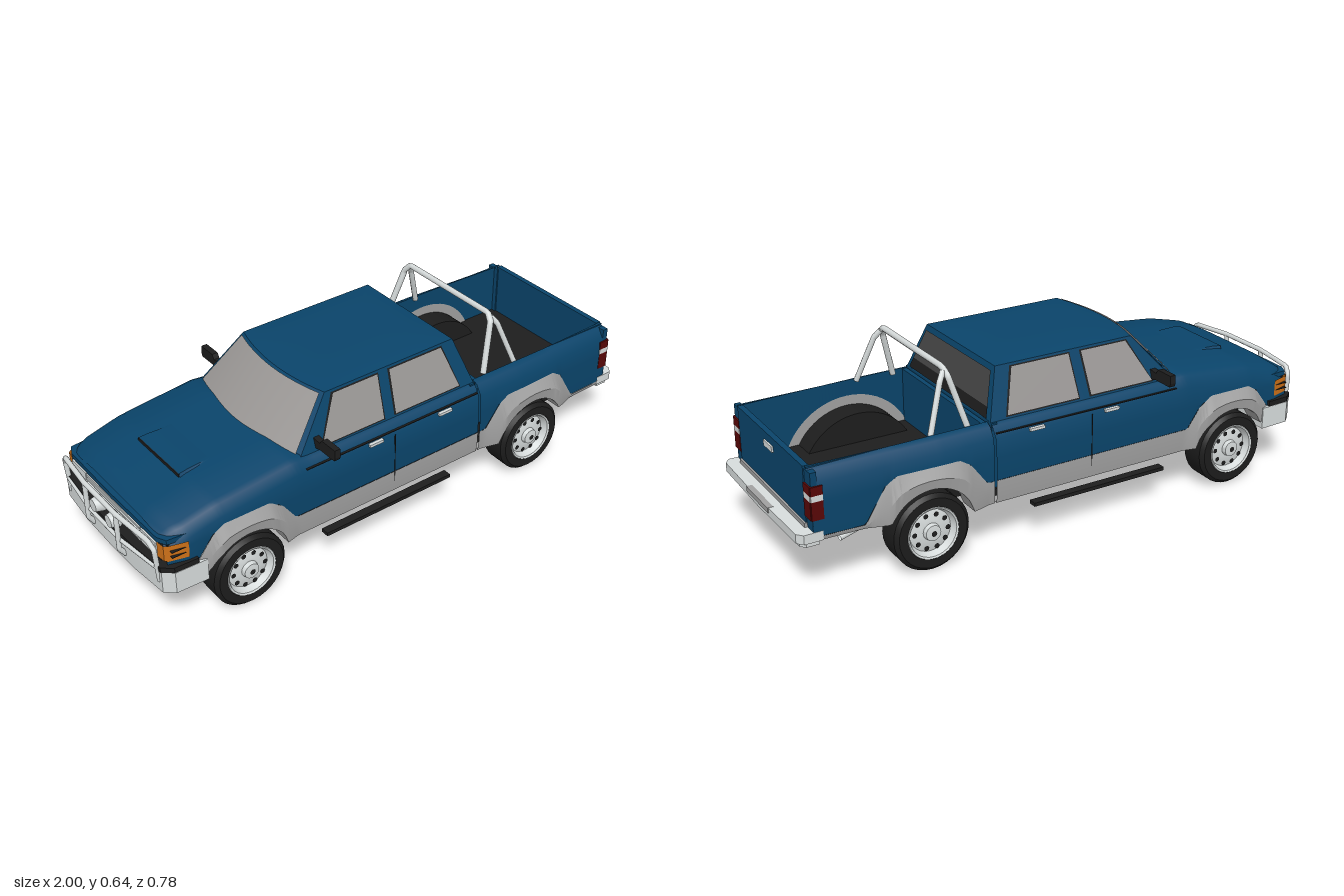
import * as THREE from 'three';
import { toCreasedNormals } from 'three/addons/utils/BufferGeometryUtils.js';

const paint = (name, color) => Object.assign(
  new THREE.MeshStandardMaterial({ color, side: THREE.DoubleSide }), { name });

export function createModel() {
  const M = {
    blue: paint('body blue', 0x0a446a), grey: paint('cladding grey', 0xa0a0a0),
    glass: paint('window glass', 0x9a9795), rearGlass: paint('dark rear glass', 0x454545),
    silver: paint('silver metal', 0xd6dbdb), black: paint('black plastic', 0x1d1d1d),
    tyre: paint('tyre rubber', 0x1c1c1c), red: paint('lamp red', 0x580707),
    orange: paint('lamp orange', 0xcc7018),
  };
  const truck = new THREE.Group();
  truck.name = 'pickupTruck';
  const lerp = THREE.MathUtils.lerp;

  // ---------- helpers ----------
  const add = (name, geo, mat, parent = truck) => {
    const m = new THREE.Mesh(geo, mat);
    m.name = name;
    parent.add(m);
    return m;
  };
  // box given by its limits
  const box = (name, mat, x0, x1, y0, y1, z0, z1, parent) => add(name,
    new THREE.BoxGeometry(x1 - x0, y1 - y0, z1 - z0)
      .translate((x0 + x1) / 2, (y0 + y1) / 2, (z0 + z1) / 2), mat, parent);
  // surface through a list of equally long point rows
  const loft = (rows, crease = 0.6) => {
    const n = rows[0].length, idx = [];
    for (let i = 0; i < rows.length - 1; i++) for (let j = 0; j < n - 1; j++) {
      const a = i * n + j, b = a + n;
      idx.push(a, a + 1, b, b, a + 1, b + 1);
    }
    const g = new THREE.BufferGeometry();
    g.setAttribute('position', new THREE.Float32BufferAttribute(rows.flat(2), 3));
    g.setIndex(idx);
    return toCreasedNormals(g, crease);
  };
  const range = (a, b, n) => Array.from({ length: n + 1 }, (_, i) => lerp(a, b, i / n));
  const patch = (fn, nu, nv) => loft(range(0, 1, nu).map(u => range(0, 1, nv).map(v => fn(u, v))));
  // piecewise linear curve
  const curve = pts => x => {
    if (x <= pts[0][0]) return pts[0][1];
    for (let i = 1; i < pts.length; i++) if (x <= pts[i][0])
      return lerp(pts[i - 1][1], pts[i][1], (x - pts[i - 1][0]) / (pts[i][0] - pts[i - 1][0]));
    return pts[pts.length - 1][1];
  };
  const shape = pts => new THREE.Shape(pts.map(p => new THREE.Vector2(...p)));
  // symmetric plan outline (x, z) raised from y0 to y1
  const plan = (name, mat, half, y0, y1) => {
    const g = new THREE.ExtrudeGeometry(shape([...half, ...half.map(([x, z]) => [x, -z]).reverse()]),
      { depth: y1 - y0, bevelEnabled: false });
    return add(name, toCreasedNormals(g.rotateX(Math.PI / 2).translate(0, y1, 0), 0.6), mat);
  };
  const tube = (name, mat, pts, r, parent) => {
    const path = new THREE.CurvePath(), v = pts.map(p => new THREE.Vector3(...p));
    for (let i = 1; i < v.length; i++) path.add(new THREE.LineCurve3(v[i - 1], v[i]));
    return add(name, new THREE.TubeGeometry(path, pts.length * 10, r, 8), mat, parent);
  };
  const both = build => [1, -1].forEach(s => {
    const g = new THREE.Group();
    g.name = s > 0 ? 'nearSide' : 'farSide';
    g.scale.z = s;
    build(g);
    truck.add(g);
  });

  // ---------- body skin ----------
  const axles = [-0.66, 0.55];
  const width = curve([[-0.935, 0.305], [-0.87, 0.323], [-0.7, 0.328], [0.5, 0.33], [0.94, 0.315]]);
  const top = curve([[-0.935, 0.364], [-0.9, 0.387], [-0.75, 0.423], [-0.46, 0.453], [-0.4, 0.446], [0.94, 0.438]]);
  const cladTop = curve([[-0.84, 0.25], [-0.78, 0.33], [-0.74, 0.355], [-0.57, 0.355], [-0.52, 0.32], [-0.47, 0.25],
    [0.34, 0.25], [0.4, 0.33], [0.44, 0.355], [0.66, 0.355], [0.7, 0.33], [0.77, 0.215]]);
  const flare = curve([[-0.84, 0], [-0.76, 1], [-0.56, 1], [-0.46, 0], [0.33, 0], [0.42, 1], [0.68, 1], [0.77, 0]]);
  const bottom = x => Math.max(x > 0.6 || x < -0.75 ? 0.2 : 0.168,
    ...axles.map(c => 0.135 + Math.sqrt(Math.max(0, 0.024 - (x - c) ** 2))));
  const side = x => {
    const w = width(x), t = top(x), c = cladTop(x);
    return [[x, c, w], [x, Math.min(Math.max(c, 0.33), t - 0.048), w + 0.001], [x, t - 0.045, w - 0.004],
      [x, t - 0.01, w - 0.026], [x, t, w - 0.045]];
  };
  const flip = p => p.map(([x, y, z]) => [x, y, -z]).reverse();
  add('frontBody', loft(range(-0.935, 0.305, 80).map(x => {
    const s = side(x);
    return [...s, [x, top(x) + 0.008, 0.15], [x, top(x) + 0.008, -0.15], ...flip(s)];
  })), M.blue);
  both(g => {
    add('bedSide', loft(range(0.312, 0.94, 50).map(x =>
      [...side(x), [x, top(x), 0.28], [x, 0.22, 0.28]])), M.blue, g);
    const clad = (a, b, n) => add('cladding', loft(range(a, b, n).map(x => {
      const w = width(x), f = w + 0.024 * flare(x), y0 = bottom(x), y1 = Math.max(cladTop(x), y0 + 0.01);
      return [[x, y0, w - 0.06], [x, y0, f - 0.003], [x, lerp(y0, y1, 0.5), f + 0.001], [x, y1, w + 0.001]];
    }), 0.5), M.grey, g);
    clad(-0.84, 0.305, 100);
    clad(0.312, 0.94, 60);

    // wheel wells, the rear ones rising into the bed
    axles.forEach((x, i) => {
      const r = i ? 0.215 : 0.17, a = Math.asin(0.07 / r), sweep = Math.PI - 2 * a;
      add('wheelWell', new THREE.CylinderGeometry(r, r, 0.09, 24, 1, true, Math.PI / 2 + a, sweep)
        .rotateX(Math.PI / 2).translate(x, 0.135, 0.235), M.black, g);
      add('wheelWellWall', new THREE.CircleGeometry(r, 24, a, sweep).translate(x, 0.135, 0.19), M.black, g);
    });
    add('wheelWellRing', new THREE.RingGeometry(0.21, 0.25, 24, 1, 0.45, Math.PI - 0.9)
      .translate(0.55, 0.135, 0.276), M.grey, g);

    // door seam, trim and handles
    box('doorSeam', M.black, -0.067, -0.065, 0.21, 0.4, 0.327, 0.3315, g);
    box('sideTrim', M.black, -0.42, 0.3, 0.411, 0.414, 0.317, 0.325, g);
    [-0.145, 0.15].forEach(x => box('doorHandle', M.silver, x - 0.028, x + 0.028, 0.395, 0.405, 0.322, 0.334, g));

    // mirror with its tapering arm, outlined in (z, y)
    add('mirror', new THREE.ExtrudeGeometry(shape([[0.27, 0.445], [0.31, 0.457], [0.387, 0.457], [0.392, 0.47],
      [0.39, 0.498], [0.32, 0.498], [0.31, 0.482], [0.27, 0.486]]), { depth: 0.022, bevelEnabled: false })
      .rotateY(-Math.PI / 2).translate(-0.338, 0, 0), M.black, g);

    // front lamps: the corner lamp follows the fender and wraps to the front
    add('cornerLamp', loft([...range(-0.866, -0.932, 4).map(x => [x, width(x) + 0.003]), [-0.941, 0.3], [-0.945, 0.268]]
      .map(([x, z]) => [[x, 0.288, z], [x, 0.348, z]])), M.orange, g);
    [0.308, 0.328].forEach(y => box('cornerLampRib', M.black, -0.925, -0.87, y - 0.001, y + 0.001, 0.3, 0.3245, g));
    box('headlamp', M.silver, -0.949, -0.9, 0.288, 0.342, 0.175, 0.266, g);

    // tail lamps: a rear plate and a side plate in three bands
    [[0.272, 0.335, M.red], [0.335, 0.355, M.silver], [0.355, 0.385, M.red]].forEach(([y0, y1, mat]) => {
      box('tailLampRear', mat, 0.94, 0.947, y0, y1, 0.266, 0.314, g);
      box('tailLampSide', mat, 0.905, 0.945, y0, y1, 0.3, 0.3185, g);
    });
    box('rearPost', M.blue, 0.92, 0.941, 0.2, 0.43, 0.262, 0.312, g);

    // side step and springs
    box('sideStep', M.black, -0.36, 0.17, 0.125, 0.138, 0.315, 0.346, g);
    box('leafSpring', M.black, 0.42, 0.68, 0.15, 0.165, 0.185, 0.215, g);
    box('springShackle', M.black, 0.5, 0.54, 0.12, 0.2, 0.14, 0.165, g);
  });

  // ---------- cab ----------
  const cabY = t => lerp(0.44, 0.605, t), cabZ = t => lerp(0.292, 0.232, t);
  const frontX = (s, t) => lerp(-0.49, -0.318, t) + lerp(0.065, 0.035, t) * s * s;
  const rearX = t => lerp(0.305, 0.252, t);
  const windscreen = (s, t, o = 0) => [frontX(s, t) - o, cabY(t) + o, s * cabZ(t)];
  const sideWall = (x, t, o = 0) => [x, cabY(t), cabZ(t) + o];
  const rearWall = (s, t, o = 0) => [rearX(t) + o, cabY(t), s * cabZ(t)];
  add('cabFront', patch((u, t) => windscreen(2 * u - 1, t), 12, 2), M.blue);
  add('windscreen', patch((u, v) => windscreen((2 * u - 1) * 0.95, lerp(0.03, 0.96, v), 0.004), 12, 2), M.glass);
  add('cabRear', patch((u, t) => rearWall(2 * u - 1, t), 2, 2), M.blue);
  add('rearWindow', patch((u, v) => rearWall((2 * u - 1) * 0.93, lerp(0.25, 0.9, v), 0.004), 2, 2), M.rearGlass);
  add('rearWindowBase', patch((u, v) => rearWall((2 * u - 1) * 0.93, lerp(0.04, 0.25, v), 0.004), 2, 2), M.black);
  add('roof', patch((u, v) => {
    const s = 2 * v - 1;
    return [lerp(frontX(s, 1), rearX(1), u), 0.605 + 0.01 * (1 - s ** 4) * (1 - (2 * u - 1) ** 6), s * cabZ(1)];
  }, 16, 14), M.blue);
  both(g => {
    add('cabSide', patch((u, t) => sideWall(lerp(frontX(1, t), rearX(t), u), t), 2, 2), M.blue, g);
    // each window: bottom and top x of its front and rear edge
    [[-0.335, -0.255, -0.085, -0.075], [-0.035, -0.025, 0.24, 0.195]].forEach(([a, b, c, d]) => {
      const pane = (name, mat, e, t0, t1, o) => add(name, patch((u, v) =>
        sideWall(lerp(lerp(a, b, v) - e, lerp(c, d, v) + e, u), lerp(t0, t1, v), o), 1, 1), mat, g);
      pane('windowSeal', M.black, 0.006, 0.04, 0.96, 0.002);
      pane('sideWindow', M.glass, 0, 0.075, 0.94, 0.005);
    });
  });
  box('cabBackPanel', M.blue, 0.285, 0.305, 0.2, 0.44, -0.3, 0.3);
  box('cabBedGap', M.black, 0.3, 0.316, 0.17, 0.43, -0.29, 0.29);

  // bonnet scoop, open to the front and fading backward
  add('bonnetScoop', patch((u, v) => {
    const x = lerp(-0.77, -0.64, u), s = 2 * v - 1;
    return [x, top(x) + 0.007 + (Math.abs(s) > 0.95 ? 0 : 0.012 * (1 - u)), s * lerp(0.13, 0.12, u)];
  }, 4, 40), M.blue);
  box('scoopOpening', M.black, -0.773, -0.769, 0.425, 0.436, -0.125, 0.125);

  // ---------- nose ----------
  plan('nosePanel', M.black, [[-0.86, 0.3], [-0.925, 0.298], [-0.938, 0.27], [-0.943, 0]], 0.24, 0.35);
  plan('noseLip', M.blue, [[-0.86, 0.31], [-0.93, 0.303], [-0.946, 0.27], [-0.95, 0]], 0.348, 0.366);
  [0.29, 0.306, 0.322, 0.338].forEach(y => box('grilleBar', M.silver, -0.949, -0.93, y - 0.004, y + 0.004, -0.17, 0.17));
  plan('frontBumper', M.silver, [[-0.81, 0.337], [-0.925, 0.333], [-0.958, 0.305], [-0.972, 0.15], [-0.974, 0]], 0.175, 0.255);
  plan('bumperTopStrip', M.black, [[-0.84, 0.335], [-0.925, 0.331], [-0.96, 0.304], [-0.974, 0.15], [-0.976, 0]], 0.255, 0.274);
  plan('frontValance', M.black, [[-0.82, 0.26], [-0.88, 0.24], [-0.9, 0.15], [-0.905, 0]], 0.15, 0.176);
  // bull bar with driving lamps
  const arch = [[-0.955, 0.21, 0.285], [-0.965, 0.335, 0.285], [-0.972, 0.362, 0.262], [-0.99, 0.368, 0.1]];
  tube('bullBarLoop', M.silver, [...arch, ...flip(arch)], 0.009);
  tube('bullBarCross', M.silver, [[-0.962, 0.265, 0.285], [-0.985, 0.265, 0.1], [-0.985, 0.265, -0.1], [-0.962, 0.265, -0.285]], 0.007);
  [-0.1, 0.1].forEach(z => {
    tube('bullBarUpright', M.silver, [[-0.97, 0.2, z], [-0.99, 0.23, z], [-0.99, 0.368, z]], 0.009);
    add('drivingLamp', new THREE.CylinderGeometry(0.022, 0.03, 0.032, 20).rotateZ(Math.PI / 2)
      .translate(-0.978, 0.308, z * 0.5), M.silver);
  });

  // ---------- bed ----------
  box('bedFloor', M.black, 0.316, 0.93, 0.205, 0.243, -0.285, 0.285);
  box('bedHeadboard', M.blue, 0.312, 0.33, 0.2, 0.438, -0.29, 0.29);
  box('tailgate', M.blue, 0.925, 0.945, 0.24, 0.438, -0.268, 0.268);
  box('tailgateHandle', M.silver, 0.94, 0.951, 0.39, 0.41, -0.034, 0.034);
  plan('rearBumper', M.silver, [[0.91, 0.317], [0.975, 0.317], [0.993, 0.295], [0.998, 0]], 0.2, 0.232);
  plan('rearBumperLower', M.silver, [[0.92, 0.308], [0.965, 0.308], [0.98, 0.29], [0.985, 0]], 0.184, 0.2);
  box('bumperStep', M.grey, 0.98, 1, 0.215, 0.233, -0.09, 0.09);
  box('bumperTopStrip', M.grey, 0.94, 0.952, 0.23, 0.247, -0.27, 0.27);
  // roll bar
  tube('rollBarHoop', M.silver, [[0.375, 0.435, 0.265], [0.425, 0.61, 0.232], [0.432, 0.633, 0.21],
    [0.432, 0.633, -0.21], [0.425, 0.61, -0.232], [0.375, 0.435, -0.265]], 0.011);
  both(g => tube('rollBarBrace', M.silver, [[0.435, 0.622, 0.22], [0.455, 0.595, 0.235], [0.512, 0.435, 0.272]], 0.01, g));

  // ---------- underside ----------
  box('floorCentre', M.black, -0.85, 0.7, 0.18, 0.21, -0.2, 0.2);
  box('floorMiddle', M.black, -0.49, 0.38, 0.185, 0.21, -0.31, 0.31);
  box('floorRear', M.black, 0.7, 0.93, 0.2, 0.215, -0.3, 0.3);
  box('engineBlock', M.black, -0.84, -0.48, 0.19, 0.36, -0.19, 0.19);
  const rod = (name, r0, r1, len, x, y, z, mat, alongX) => add(name, new THREE.CylinderGeometry(r0, r1, len, 12)
    .rotateX(alongX ? 0 : Math.PI / 2).rotateZ(alongX ? Math.PI / 2 : 0).translate(x, y, z), mat);
  rod('transferCase', 0.045, 0.025, 0.13, -0.3, 0.142, 0, M.black, true);
  axles.forEach(x => {
    rod('axle', 0.018, 0.018, 0.52, x, 0.135, 0, M.black, false);
    add('differential', new THREE.SphereGeometry(0.048, 8, 4).translate(x, 0.137, 0), M.black);
  });
  rod('driveShaft', 0.014, 0.014, 1.2, -0.055, 0.14, 0, M.black, true);
  rod('exhaustPipe', 0.009, 0.009, 0.9, 0, 0.172, -0.09, M.black, true);
  box('muffler', M.silver, -0.02, 0.17, 0.166, 0.182, -0.13, -0.05);
  tube('tailPipe', M.silver, [[0.7, 0.19, -0.24], [0.78, 0.19, -0.28], [0.85, 0.18, -0.295]], 0.01);

  // ---------- wheels ----------
  const spin = pts => toCreasedNormals(
    new THREE.LatheGeometry(pts.map(p => new THREE.Vector2(...p)), 32).rotateX(Math.PI / 2), 0.5);
  const tyreGeo = spin([[0.001, -0.03], [0.08, -0.04], [0.092, -0.055], [0.122, -0.055], [0.134, -0.042],
    [0.135, 0.042], [0.122, 0.055], [0.092, 0.055], [0.088, 0.045]]);
  const rimGeo = spin([[0.093, 0.05], [0.09, 0.057], [0.084, 0.054], [0.074, 0.03], [0.04, 0.04],
    [0.03, 0.04], [0.027, 0.055], [0.001, 0.058]]);
  both(g => axles.forEach(x => {
    const wheel = new THREE.Group();
    wheel.name = 'wheel';
    wheel.position.set(x, 0.135, 0.294);
    add('tyre', tyreGeo, M.tyre, wheel);
    add('rim', rimGeo, M.silver, wheel);
    add('hubCap', new THREE.CircleGeometry(0.01, 12).translate(0, 0, 0.06), M.black, wheel);
    for (let i = 0; i < 10; i++) {
      const a = i * Math.PI / 5;
      add('rimHole', new THREE.CircleGeometry(0.009, 10)
        .translate(Math.cos(a) * 0.06, Math.sin(a) * 0.06, 0.0395), M.black, wheel);
    }
    g.add(wheel);
  }));
  return truck;
}
